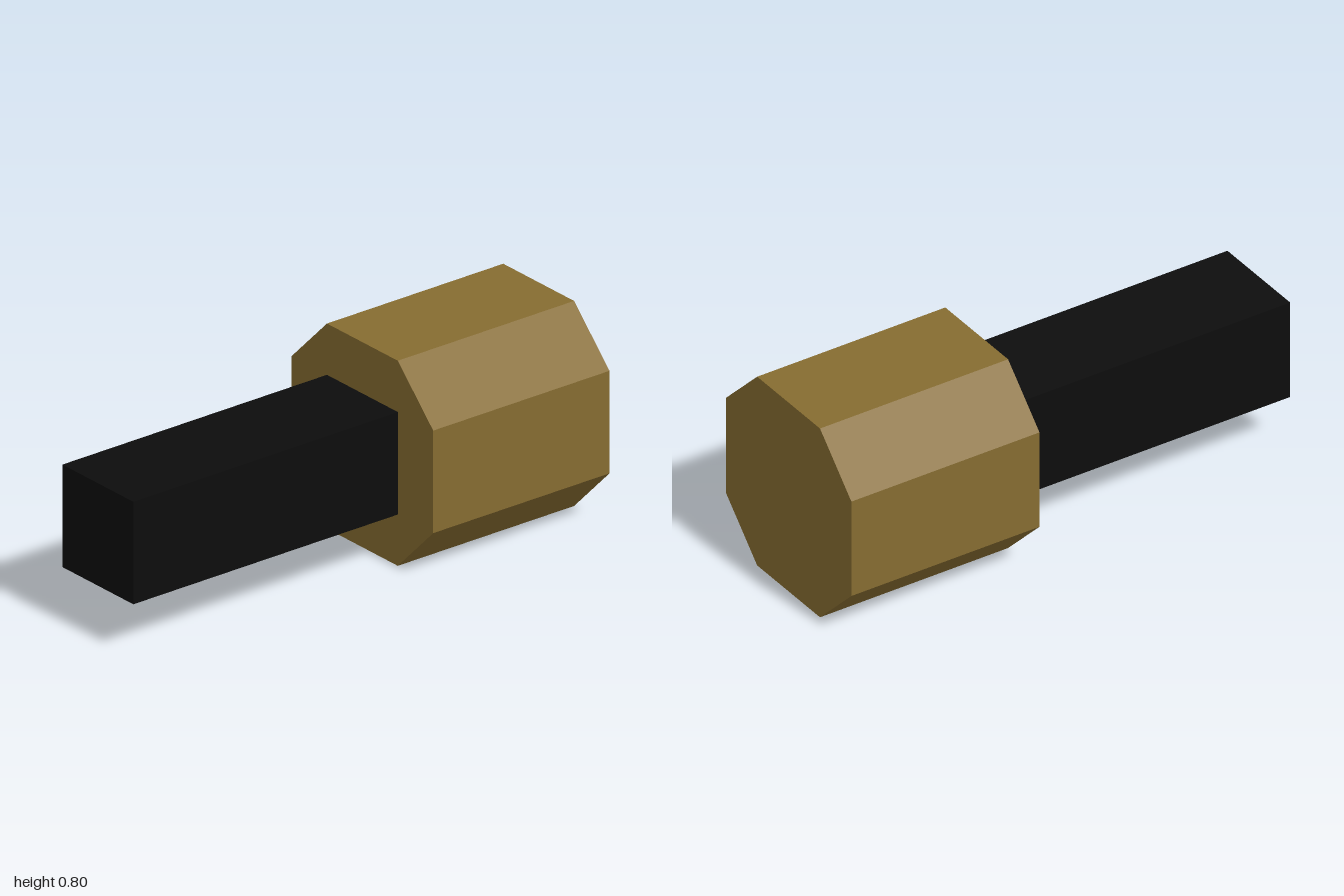
import * as THREE from 'three';

export function createModel() {
  const model = new THREE.Group();
  const brass = new THREE.MeshStandardMaterial({ color: 0x866c31, flatShading: true });
  brass.name = 'brass';
  const black = new THREE.MeshStandardMaterial({ color: 0x0d0d0d, flatShading: true });
  black.name = 'black';

  // Square handle along x
  const handle = new THREE.Mesh(new THREE.BoxGeometry(1.2, 0.4, 0.4), black);
  handle.name = 'handle';
  handle.position.set(-0.4, 0.4, 0);

  // Eight-sided head: a square with 45 degree chamfers, extruded along x
  const half = 0.4, flat = 0.2;
  const outline = new THREE.Shape([
    [half, -flat], [half, flat], [flat, half], [-flat, half],
    [-half, flat], [-half, -flat], [-flat, -half], [flat, -half],
  ].map(([x, y]) => new THREE.Vector2(x, y)));
  const headGeometry = new THREE.ExtrudeGeometry(outline, { depth: 0.8, bevelEnabled: false });
  headGeometry.rotateY(Math.PI / 2);
  const head = new THREE.Mesh(headGeometry, brass);
  head.name = 'head';
  head.position.set(0.2, 0.4, 0);

  model.add(handle, head);
  return model;
}
